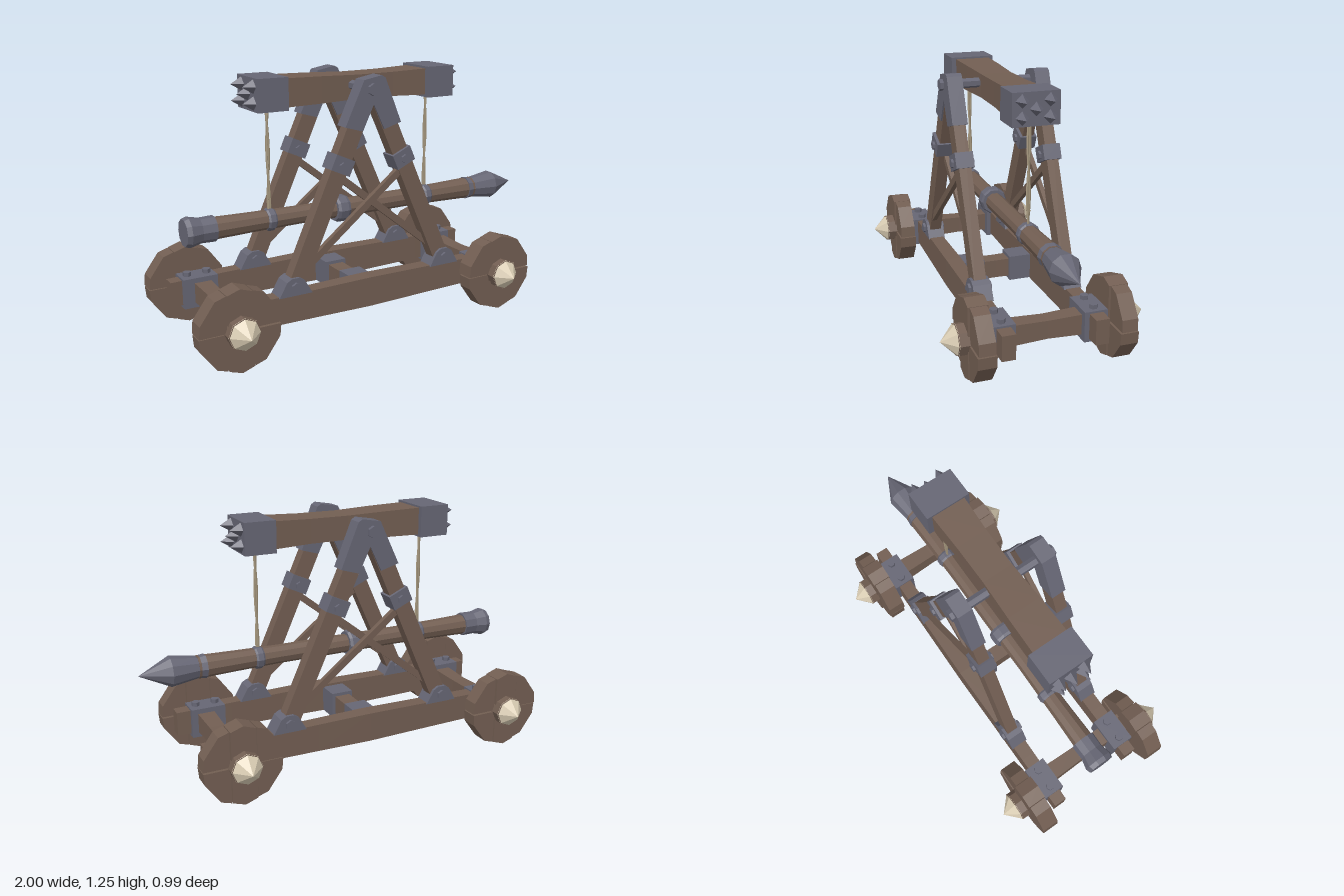
import * as THREE from 'three';

const mat = (name, color) => {
  const m = new THREE.MeshStandardMaterial({ color, flatShading: true });
  m.name = name;
  return m;
};

export function createModel() {
  const wood = mat('wood', 0x725e52);
  const metal = mat('iron', 0x666674);
  const bone = mat('pale hub', 0xd8cbb2);
  const rope = mat('rope', 0xa3957c);
  const root = new THREE.Group();
  root.name = 'batteringRam';

  const add = (parent, name, geo, material, x = 0, y = 0, z = 0) => {
    const m = new THREE.Mesh(geo, material);
    m.name = name;
    m.position.set(x, y, z);
    parent.add(m);
    return m;
  };
  const box = (parent, name, material, x0, x1, y0, y1, z0, z1) =>
    add(parent, name, new THREE.BoxGeometry(x1 - x0, y1 - y0, z1 - z0), material,
      (x0 + x1) / 2, (y0 + y1) / 2, (z0 + z1) / 2);

  // Timber along x or z whose cross-section swells or narrows along its length
  const timber = (parent, name, axis, len, h, d, scales, x, y, z) => {
    const n = scales.length - 1;
    const g = new THREE.BoxGeometry(len, h, d, n, 1, 1);
    const p = g.attributes.position;
    for (let i = 0; i < p.count; i++) {
      const s = scales[Math.round((p.getX(i) / len + 0.5) * n)];
      p.setY(i, p.getY(i) * s);
      p.setZ(i, p.getZ(i) * s);
    }
    if (axis === 'z') g.rotateY(Math.PI / 2);
    return add(parent, name, g, wood, x, y, z);
  };

  // Straight bar between two points in the xy plane
  const bar = (parent, name, material, a, b, w, d, z) => {
    const dx = b[0] - a[0], dy = b[1] - a[1];
    const m = add(parent, name, new THREE.BoxGeometry(w, Math.hypot(dx, dy), d), material,
      (a[0] + b[0]) / 2, (a[1] + b[1]) / 2, z);
    m.rotation.z = -Math.atan2(dx, dy);
    return m;
  };

  // Plate cut from an outline, extruded along z and centred on zc
  const plate = (parent, name, material, pts, depth, zc, x = 0, y = 0) => {
    const g = new THREE.ExtrudeGeometry(new THREE.Shape(pts.map(q => new THREE.Vector2(...q))),
      { depth, bevelEnabled: false });
    g.translate(0, 0, -depth / 2);
    return add(parent, name, g, material, x, y, zc);
  };

  // Hexagonal pin running along z
  const pin = (parent, name, r, len, x, y, z) =>
    add(parent, name, new THREE.CylinderGeometry(r, r, len, 6).rotateX(Math.PI / 2), metal, x, y, z);

  // Turned piece along x from [x, radius] pairs
  const turned = (parent, name, material, pts, sides = 10) =>
    add(parent, name, new THREE.LatheGeometry(pts.map(([x, r]) => new THREE.Vector2(r, x)), sides)
      .rotateZ(-Math.PI / 2), material, 0, 0.565, 0);

  // Wheels: plank pieces cut from a ten-sided disc, with a pointed hub
  const R = 0.197, strip = 0.065;
  const corner = k => [R * Math.cos(k * Math.PI / 5 + Math.PI / 10), R * Math.sin(k * Math.PI / 5 + Math.PI / 10)];
  const c0 = corner(0), c1 = corner(1), c2 = corner(2);
  const t = (c1[0] - strip) / (c1[0] - c2[0]);
  const yCut = c1[1] + (c2[1] - c1[1]) * t;
  const makeWheel = (x, side) => {
    const w = new THREE.Group();
    w.name = 'wheel';
    w.position.set(x, 0.203, side * 0.335);
    const s = strip - 0.004;
    plate(w, 'wheelCentrePlank', wood,
      [[-s, -yCut], [0, -R], [s, -yCut], [s, yCut], [0, R], [-s, yCut]], 0.095, 0);
    for (const turn of [0, Math.PI]) {
      plate(w, 'wheelSidePlank', wood, [[strip, 0.003], [R - 0.004, 0.003], c0, c1, [strip, yCut]], 0.078, 0).rotation.z = turn;
      plate(w, 'wheelSidePlank', wood, [[strip, -yCut], [c1[0], -c1[1]], [c0[0], -c0[1]], [R - 0.004, -0.003], [strip, -0.003]], 0.088, 0).rotation.z = turn;
    }
    add(w, 'hub', new THREE.CylinderGeometry(0.076, 0.076, 0.06, 8).rotateX(Math.PI / 2), wood, 0, 0, side * 0.06);
    add(w, 'hubPoint', new THREE.ConeGeometry(0.077, 0.072, 8).rotateX(side * Math.PI / 2), bone, 0, 0, side * 0.122);
    root.add(w);
  };
  for (const x of [-0.81, 0.635]) for (const side of [1, -1]) makeWheel(x, side);

  // Axles and middle cross beam
  const waist = [1.1, 1, 0.9, 1, 1.1];
  timber(root, 'rearAxle', 'z', 0.62, 0.1, 0.085, waist, -0.775, 0.197, 0);
  timber(root, 'frontAxle', 'z', 0.62, 0.1, 0.085, waist, 0.635, 0.197, 0);
  timber(root, 'crossBeam', 'z', 0.4, 0.1, 0.085, [1, 0.95, 1], -0.085, 0.197, 0);

  for (const side of [1, -1]) {
    const f = new THREE.Group();
    f.name = side > 0 ? 'frontFrame' : 'backFrame';
    root.add(f);
    const z = side * 0.223;

    // Base beam with iron sleeves and bolts
    timber(f, 'baseBeam', 'x', 1.71, 0.14, 0.075, [0.88, 0.95, 1, 1.06, 1, 0.95, 0.88], -0.075, 0.2, z);
    box(f, 'crossBeamSleeve', metal, -0.143, -0.027, 0.13, 0.262, side * 0.13 - 0.06, side * 0.13 + 0.06);
    for (const x of [-0.785, 0.622]) {
      box(f, 'beamSleeve', metal, x - 0.088, x + 0.088, 0.122, 0.272, z - 0.057, z + 0.057);
      for (const dx of [-0.05, 0.05])
        add(f, 'sleeveBolt', new THREE.CylinderGeometry(0.021, 0.021, 0.025, 6), metal, x + dx, 0.28, z);
    }

    // Legs, collars and feet, mirrored about the frame's centre line
    const cx = -0.063;
    for (const m of [-1, 1]) {
      const at = (dx, y) => [cx + m * dx, y];
      const legX = y => 0.432 - (y - 0.26) * 0.448;
      bar(f, 'leg', wood, at(legX(0.26), 0.26), at(legX(1.14), 1.14), 0.086, 0.06, z);
      bar(f, 'legCollar', metal, at(legX(0.815), 0.815), at(legX(0.885), 0.885), 0.106, 0.09, z);
      pin(f, 'collarBolt', 0.022, 0.114, cx + m * legX(0.845), 0.845, z);
      plate(f, 'foot', metal, [[-0.085, 0], [0.085, 0], [0.045, 0.07], [0.02, 0.085], [-0.02, 0.085], [-0.045, 0.07]],
        0.09, z, cx + m * 0.422, 0.264);
      pin(f, 'footBolt', 0.026, 0.115, cx + m * 0.422, 0.304, z);
      bar(f, 'crossBrace', wood, at(0.18, 0.8), at(-0.385, 0.355), 0.034, 0.024, z + m * 0.012);
    }

    // Iron peak joining the legs
    plate(f, 'peakBracket', metal, [[-0.215, 1.025], [-0.122, 0.998], [-0.063, 1.12], [-0.004, 0.998],
      [0.088, 1.025], [0, 1.24], [-0.02, 1.252], [-0.115, 1.235]], 0.076, z);
    pin(f, 'pivotHead', 0.029, 0.018, -0.072, 1.19, side * 0.271);
  }
  pin(root, 'pivotBar', 0.024, 0.55, -0.072, 1.19, 0);

  // Upper beam with spiked iron end blocks
  timber(root, 'upperBeam', 'x', 0.8, 0.132, 0.175, [1.02, 0.97, 0.88, 0.9, 1], -0.04, 1.178, 0);
  for (const m of [-1, 1]) {
    const x = -0.04 + m * 0.463;
    box(root, 'endBlock', metal, x - 0.077, x + 0.077, 1.1, 1.254, -0.113, 0.113);
    for (const [dy, dz] of [[0, 0], [0.038, 0.066], [0.038, -0.066], [-0.038, 0.066], [-0.038, -0.066]])
      add(root, 'spike', new THREE.ConeGeometry(0.033, 0.056, 4).rotateZ(-m * Math.PI / 2),
        metal, x + m * 0.104, 1.177 + dy, dz);
  }

  // Hanging ropes: two loosely twisted strands each
  for (const x of [-0.487, 0.412]) {
    for (const s of [-1, 1]) {
      const pts = [];
      for (let i = 0; i <= 8; i++) {
        const a = i * 0.8;
        pts.push(new THREE.Vector3(s * 0.005 * Math.cos(a), 0.6 + i * 0.065, s * 0.006 * Math.sin(a)));
      }
      add(root, 'ropeStrand', new THREE.TubeGeometry(new THREE.CatmullRomCurve3(pts), 16, 0.006, 5), rope, x);
    }
  }

  // Swinging ram with iron head, butt and bands
  turned(root, 'ramShaft', wood, [[-0.8, 0], [-0.8, 0.054], [-0.6, 0.049], [-0.3, 0.045], [0, 0.047],
    [0.3, 0.046], [0.5, 0.05], [0.72, 0.056], [0.72, 0]]);
  turned(root, 'ramHead', metal, [[0.68, 0], [0.68, 0.06], [0.72, 0.054], [0.85, 0.074], [1, 0]]);
  turned(root, 'ramButt', metal, [[-0.918, 0], [-0.918, 0.066], [-0.895, 0.073], [-0.84, 0.06], [-0.77, 0.062], [-0.77, 0]]);
  for (const [x, r, w] of [[-0.487, 0.056, 0.022], [-0.102, 0.068, 0.035], [0.412, 0.056, 0.022]])
    turned(root, 'ramBand', metal, [[x - w, 0], [x - w, r - 0.006], [x - w * 0.6, r], [x + w * 0.6, r], [x + w, r - 0.006], [x + w, 0]]);

  return root;
}
